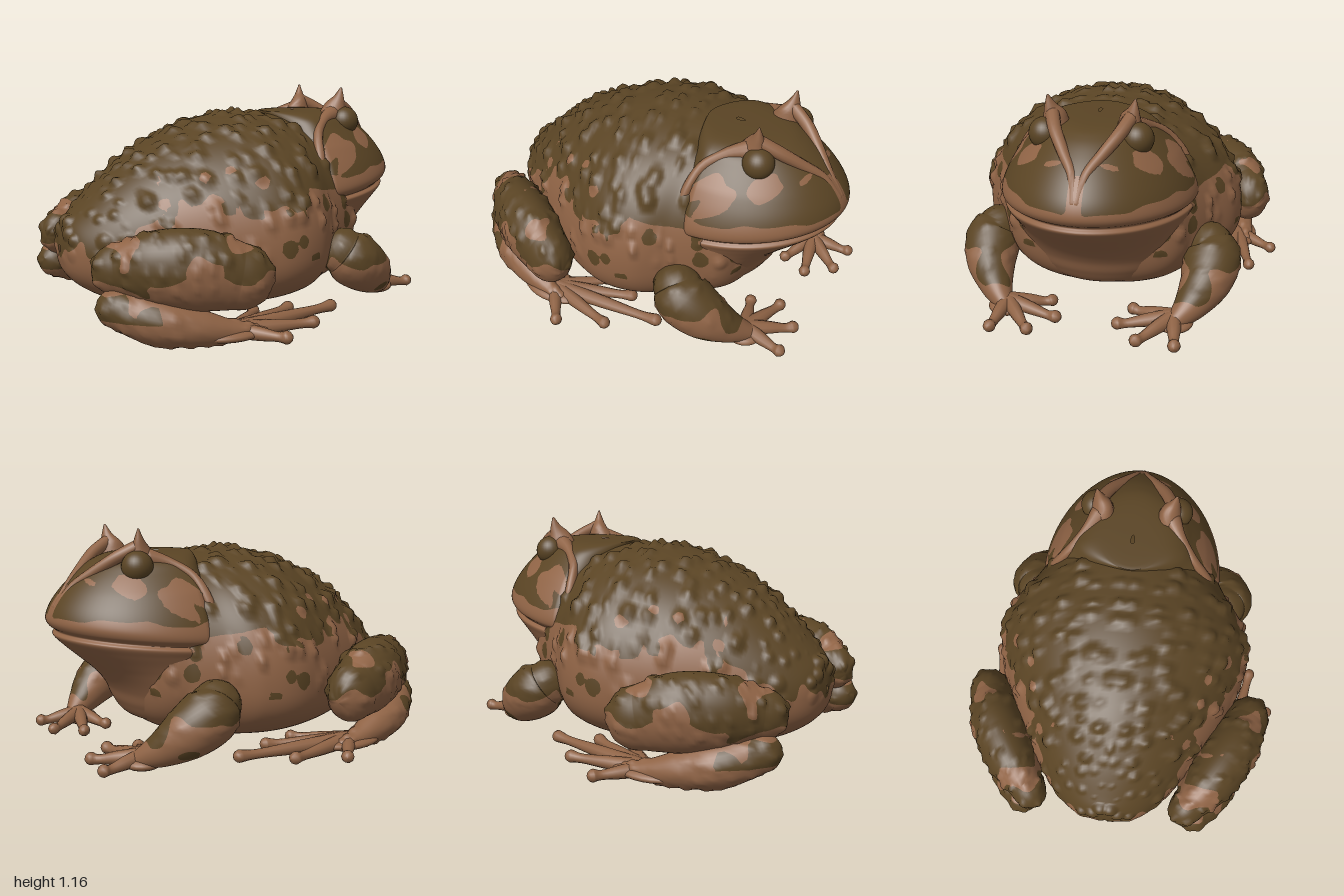
import * as THREE from 'three';

const skin = new THREE.MeshStandardMaterial({ color: 0x8f6345 });
skin.name = 'tan skin';
const patch = new THREE.MeshStandardMaterial({ color: 0x5a4424 });
patch.name = 'olive patches';

const { smoothstep, lerp } = THREE.MathUtils;

// Seeded hash and smooth value noise
const hash = (x, y, z) => {
  const s = Math.sin(x * 127.1 + y * 311.7 + z * 74.7) * 43758.5453;
  return s - Math.floor(s);
};
function noise(x, y, z) {
  const i = Math.floor(x), j = Math.floor(y), k = Math.floor(z);
  const f = (t) => t * t * (3 - 2 * t);
  const u = f(x - i), v = f(y - j), w = f(z - k);
  const row = (b, c) => lerp(hash(i, j + b, k + c), hash(i + 1, j + b, k + c), u);
  return lerp(lerp(row(0, 0), row(1, 0), v), lerp(row(0, 1), row(1, 1), v), w) * 2 - 1;
}
const blotch = (p, f, o = 0) => noise(p.x * f + o, p.y * f + o, Math.abs(p.z) * f + o);

// Round bumps or spots scattered one per cell; returns 0..1
function wart(p, cell) {
  const q = [p.x / cell, p.y / cell, Math.abs(p.z) / cell];
  const c = q.map(Math.floor);
  let best = 0;
  for (let a = -1; a < 2; a++) for (let b = -1; b < 2; b++) for (let d = -1; d < 2; d++) {
    const x = c[0] + a, y = c[1] + b, z = c[2] + d;
    const dx = x + 0.2 + 0.6 * hash(x, y, z) - q[0];
    const dy = y + 0.2 + 0.6 * hash(y, z, x + 9) - q[1];
    const dz = z + 0.2 + 0.6 * hash(z, x, y + 5) - q[2];
    const r = 0.3 + 0.22 * hash(x + 3, z, y);
    best = Math.max(best, 1 - (dx * dx + dy * dy + dz * dz) / (r * r));
  }
  return Math.pow(best, 1.2);
}

// Catmull-Rom interpolation through the rows of a small table
function spline(rows, t) {
  const n = rows.length - 1, i = Math.min(n - 1, Math.floor(t * n)), f = t * n - i;
  const at = (k) => rows[Math.max(0, Math.min(n, k))];
  const [a, b, c, d] = [at(i - 1), at(i), at(i + 1), at(i + 2)];
  return b.map((_, k) => b[k] + 0.5 * f * (c[k] - a[k] +
    f * (2 * a[k] - 5 * b[k] + 4 * c[k] - d[k] + f * (3 * (b[k] - c[k]) + d[k] - a[k]))));
}

// Closed surface from rings of points, always wound outward
function loft(rows, cols, point) {
  const pos = [], idx = [];
  for (let i = 0; i <= rows; i++) for (let j = 0; j < cols; j++)
    pos.push(...point(i / rows, (j / cols) * Math.PI * 2));
  for (let i = 0; i < rows; i++) for (let j = 0; j < cols; j++) {
    const a = i * cols + j, b = i * cols + (j + 1) % cols;
    idx.push(a, b, a + cols, b, b + cols, a + cols);
  }
  const v = (k) => new THREE.Vector3().fromArray(pos, k * 3);
  let volume = 0;
  for (let k = 0; k < idx.length; k += 3)
    volume += v(idx[k]).dot(v(idx[k + 1]).cross(v(idx[k + 2])));
  if (volume < 0) idx.reverse();
  const g = new THREE.BufferGeometry();
  g.setAttribute('position', new THREE.Float32BufferAttribute(pos, 3));
  g.setIndex(idx);
  g.computeVertexNormals();
  return g;
}

// Push vertices along their normals
function displace(g, rule) {
  const P = g.attributes.position, N = g.attributes.normal;
  const p = new THREE.Vector3(), n = new THREE.Vector3();
  for (let i = 0; i < P.count; i++) {
    p.fromBufferAttribute(P, i);
    n.fromBufferAttribute(N, i);
    p.addScaledVector(n, rule(p));
    P.setXYZ(i, p.x, p.y, p.z);
  }
  g.computeVertexNormals();
  return g;
}

// Cut faces along the zero line of a field: patches where it is positive
function paint(name, g, field) {
  const pos = [...g.attributes.position.array], nor = [...g.attributes.normal.array];
  const src = g.index.array, sets = [[], []], val = [];
  const p = new THREE.Vector3();
  for (let i = 0; i < pos.length / 3; i++) val.push(field(p.fromArray(pos, i * 3)));
  const inside = (i) => (val[i] > 0 ? 1 : 0);
  const cut = (a, b) => {
    const t = val[a] / (val[a] - val[b]);
    for (const list of [pos, nor]) for (let m = 0; m < 3; m++)
      list.push(lerp(list[a * 3 + m], list[b * 3 + m], t));
    return pos.length / 3 - 1;
  };
  for (let k = 0; k < src.length; k += 3) {
    let [a, b, c] = [src[k], src[k + 1], src[k + 2]];
    if (inside(a) === inside(b) && inside(b) === inside(c)) { sets[inside(a)].push(a, b, c); continue; }
    while (inside(b) !== inside(c)) [a, b, c] = [b, c, a];
    const d = cut(a, b), e = cut(a, c);
    sets[inside(a)].push(a, d, e);
    sets[inside(b)].push(d, b, c, d, c, e);
  }
  const out = new THREE.BufferGeometry();
  out.setAttribute('position', new THREE.Float32BufferAttribute(pos, 3));
  out.setAttribute('normal', new THREE.Float32BufferAttribute(nor, 3));
  out.setIndex([...sets[0], ...sets[1]]);
  out.addGroup(0, sets[0].length, 0);
  out.addGroup(sets[0].length, sets[1].length, 1);
  return named(name, out, [skin, patch]);
}

function named(name, g, mat = skin) {
  const m = new THREE.Mesh(g, mat);
  m.name = name;
  return m;
}

// Round-ended limb along [x, y, z, radius] rows; flat narrows it sideways
function limb(path, side, rows, cols, flat = 1) {
  const up = new THREE.Vector3(0, 1, 0.01);
  const at = (t) => { const [x, y, z, r] = spline(path, t); return { c: new THREE.Vector3(x, y, z * side), r }; };
  return loft(rows, cols, (u, a) => {
    const cap = 0.16, t = Math.min(1, Math.max(0, (u - cap) / (1 - 2 * cap)));
    const { c, r } = at(t);
    const T = at(Math.min(1, t + 0.01)).c.sub(at(Math.max(0, t - 0.01)).c).normalize();
    const S = new THREE.Vector3().crossVectors(T, up).normalize();
    const U = new THREE.Vector3().crossVectors(S, T);
    const e = u < cap ? 1 - u / cap : u > 1 - cap ? (u - 1 + cap) / cap : 0;
    c.addScaledVector(T, r * Math.sin(e * Math.PI / 2) * (u < 0.5 ? -1 : 1));
    const k = r * Math.cos(e * Math.PI / 2);
    return c.addScaledVector(S, Math.cos(a) * k * flat).addScaledVector(U, Math.sin(a) * k).toArray();
  });
}

// Body rows: x, bottom, top, half width, height of widest point
const BODY = [[-0.99, 0.36, 0.4, 0.01, 0.38], [-0.965, 0.25, 0.5, 0.15, 0.37], [-0.89, 0.17, 0.585, 0.26, 0.37],
  [-0.75, 0.1, 0.715, 0.38, 0.36], [-0.55, 0.06, 0.86, 0.5, 0.36], [-0.3, 0.04, 0.97, 0.63, 0.36],
  [-0.05, 0.04, 1.03, 0.715, 0.38], [0.15, 0.05, 1.025, 0.685, 0.4], [0.3, 0.07, 1.01, 0.58, 0.42],
  [0.45, 0.1, 0.99, 0.49, 0.42], [0.58, 0.2, 0.88, 0.38, 0.48], [0.66, 0.45, 0.65, 0.01, 0.55]];
// Head rows: height, front x, half width
const HEAD = [[0.12, 0.42, 0.02], [0.16, 0.57, 0.28], [0.24, 0.635, 0.37], [0.32, 0.67, 0.41], [0.4, 0.73, 0.435],
  [0.5, 0.835, 0.455], [0.57, 0.915, 0.475], [0.62, 0.965, 0.49], [0.645, 0.95, 0.472], [0.67, 0.985, 0.5],
  [0.71, 1.0, 0.497], [0.78, 0.975, 0.46], [0.86, 0.915, 0.4], [0.94, 0.83, 0.33], [1.0, 0.74, 0.27],
  [1.03, 0.64, 0.18], [1.035, 0.42, 0.01]];

export function createModel() {
  const toad = new THREE.Group();
  toad.name = 'horned toad';

  // Warty body: olive back, pale flanks with round spots
  const body = loft(165, 136, (u, a) => {
    const [x, bottom, top, w, mid] = spline(BODY, u);
    const c = Math.cos(a), s = Math.sin(a), e = s < 0 ? 0.8 : 1;
    const y = mid + (s < 0 ? -(mid - bottom) : top - mid) * Math.pow(Math.abs(s), e);
    return [x, y, w * Math.sign(c) * Math.pow(Math.abs(c), e)];
  });
  displace(body, (p) => 0.03 * wart(p, 0.1) * smoothstep(p.y, 0.25, 0.6));
  toad.add(paint('body', body, (p) => {
    const edge = 0.625 + 0.07 * blotch(p, 6) + 0.05 * blotch(p, 16) - 0.24 * smoothstep(-p.x, 0.5, 0.95);
    const holes = p.y < 0.88 && Math.abs(p.z) > 0.3 ? 0.6 - wart(p, 0.17) : 1;
    const spots = Math.min(wart(p, 0.13) - 0.3, (p.y - 0.34) * 5);
    return Math.max(Math.min((p.y - edge) * 5, holes), spots);
  }));

  // Head with lips, olive crown, pale snout stripe and slanted cheek patches
  const head = loft(106, 104, (u, a) => {
    const [h, front, w] = spline(HEAD, u);
    const c = Math.cos(a), s = Math.sin(a), pw = (v, e) => Math.sign(v) * Math.pow(Math.abs(v), e);
    const x = 0.38 + (c > 0 ? front - 0.38 : Math.min(0.16, w)) * pw(c, 1.04);
    const droop = 0.1 * (0.95 - x) * Math.max(0, 1 - Math.abs(h - 0.65) / 0.2);
    return [x, h - droop, w * pw(s, 1.04)];
  });
  toad.add(paint('head', head, (p) => {
    const z = Math.abs(p.z);
    const crown = Math.min(0.19 - 0.57 * Math.max(0, p.x - 0.6) - z, p.y - 0.88) * 5;
    const stripes = noise((p.x - p.y) * 13 + 3, (p.x + p.y) * 4.5, z * 7) + 0.22;
    return Math.max(crown, Math.min(stripes, (p.y - 0.72 - 0.03 * blotch(p, 9)) * 8, (z - 0.035) * 8));
  }));

  for (const side of [1, -1]) {
    const name = side > 0 ? 'left' : 'right';
    const part = (label, path, r, c, flat) => toad.add(named(name + label, limb(path, side, r, c, flat)));

    // Eye, horn and the raised ridges around the face
    const eye = new THREE.SphereGeometry(0.08, 28, 20);
    eye.translate(0.615, 0.975, side * 0.225);
    toad.add(named(name + 'Eye', eye, patch));
    part('Horn', [[0.565, 0.98, 0.18, 0.09], [0.58, 1.045, 0.185, 0.066], [0.593, 1.1, 0.2, 0.034], [0.6, 1.155, 0.21, 0.008]], 24, 18, 0.8);
    part('SnoutRidge', [[0.6, 1.07, 0.19, 0.035], [0.7, 1.015, 0.15, 0.033], [0.8, 0.94, 0.085, 0.028], [0.88, 0.87, 0.03, 0.025], [0.955, 0.77, 0.01, 0.025]], 26, 12);
    part('BrowRidge', [[0.54, 1.01, 0.2, 0.05], [0.45, 0.985, 0.255, 0.03], [0.36, 0.92, 0.335, 0.026], [0.32, 0.8, 0.42, 0.026], [0.32, 0.69, 0.445, 0.026]], 26, 12);

    // Hind leg
    const thigh = limb([[-0.85, 0.36, 0.45, 0.125], [-0.7, 0.375, 0.56, 0.18], [-0.52, 0.365, 0.66, 0.195], [-0.35, 0.33, 0.735, 0.16]], side, 60, 48, 0.78);
    displace(thigh, (p) => 0.018 * wart(p, 0.07) * smoothstep(p.y, 0.15, 0.4));
    toad.add(paint(name + 'Thigh', thigh, (p) =>
      Math.min((p.y - 0.32 - 0.07 * blotch(p, 8, 3)) * 6, blotch(p, 10, 2) + 0.36)));
    const shank = limb([[-0.875, 0.19, 0.49, 0.095], [-0.72, 0.135, 0.6, 0.115], [-0.56, 0.1, 0.68, 0.092], [-0.4, 0.07, 0.73, 0.055], [-0.28, 0.055, 0.75, 0.035]], side, 46, 36);
    displace(shank, (p) => 0.01 * wart(p, 0.07));
    toad.add(paint(name + 'Shank', shank, (p) =>
      Math.min((-0.74 - p.x) * 6, (p.y - 0.15) * 6, blotch(p, 10, 1) + 0.05)));

    // Front leg
    const arm = limb([[0.37, 0.32, 0.57, 0.125], [0.42, 0.28, 0.59, 0.148], [0.53, 0.205, 0.57, 0.132], [0.64, 0.125, 0.51, 0.088], [0.73, 0.07, 0.44, 0.045]], side, 48, 40);
    displace(arm, (p) => 0.008 * wart(p, 0.07) * smoothstep(p.y, 0.1, 0.3));
    toad.add(paint(name + 'FrontLeg', arm, (p) =>
      Math.min((p.y - 0.1) * 6, blotch(p, 9, 11) + 0.8 * smoothstep(p.y, 0.2, 0.42) - 0.22)));

    // Feet: a flat palm with knob-tipped toes
    const foot = (label, [px, py, pz, rx, rz], toes) => {
      const palm = new THREE.SphereGeometry(1, 24, 14);
      palm.scale(rx, 0.037, rz).translate(px, 0.052, side * pz);
      toad.add(named(name + label + 'Palm', palm));
      toes.forEach(([x, z], i) => {
        const on = (t, y, r) => [lerp(px, x, t), y, lerp(pz, z, t), r];
        part(label + 'Toe' + (i + 1), [on(0, py, 0.042), on(0.45, lerp(py, 0.05, 0.5), 0.034), on(0.78, 0.052, 0.024), on(0.93, 0.054, 0.033)], 20, 10);
      });
    };
    foot('HindFoot', [-0.36, 0.06, 0.7, 0.19, 0.11], [[-0.18, 0.91], [0.07, 0.785], [0.31, 0.61], [0.08, 0.52], [-0.12, 0.48]]);
    foot('FrontFoot', [0.7, 0.08, 0.43, 0.1, 0.1], [[0.93, 0.46], [0.92, 0.26], [0.78, 0.14], [0.62, 0.2]]);
  }
  return toad;
}
